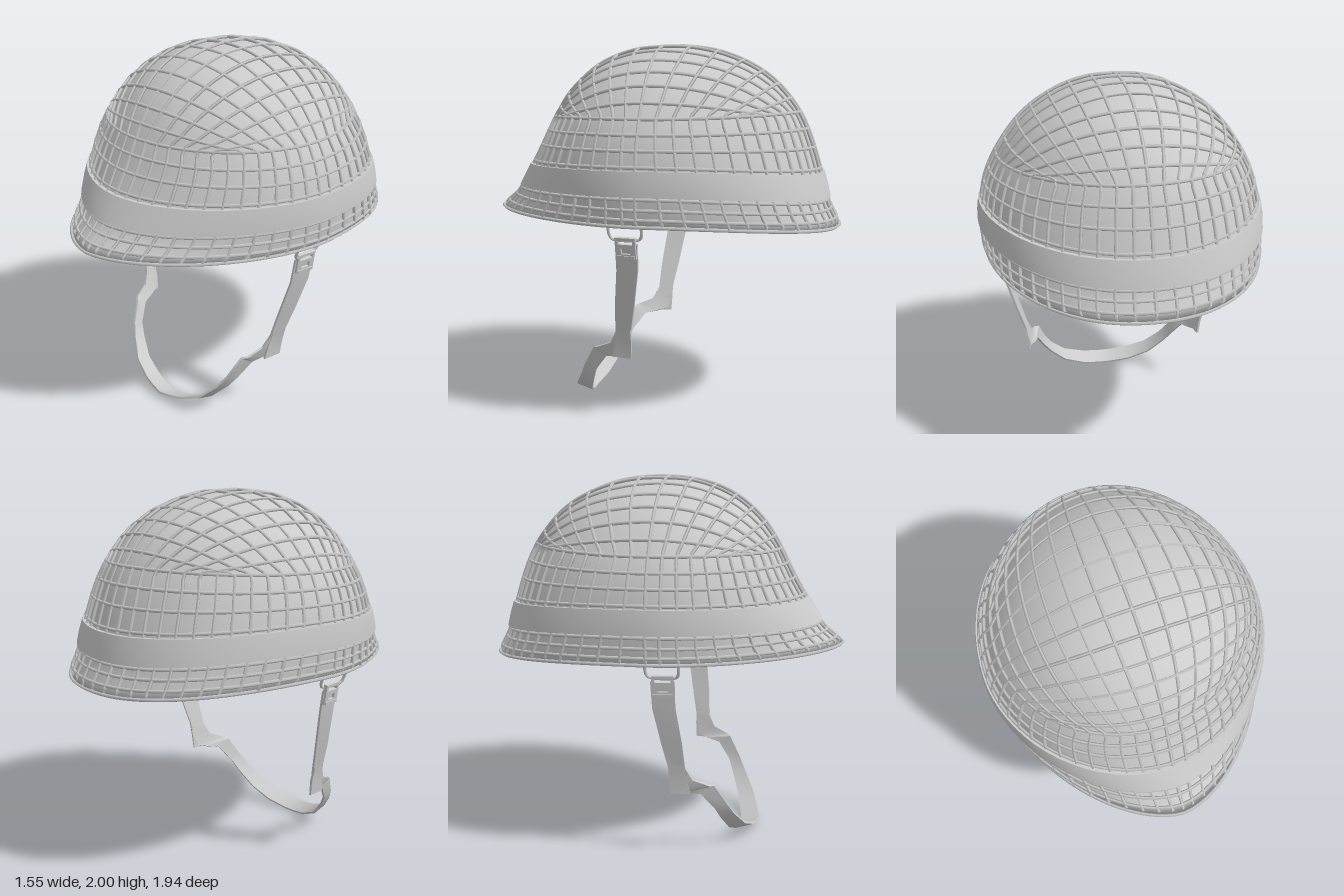
import * as THREE from 'three';
import { mergeGeometries, mergeVertices, toCreasedNormals } from 'three/addons/utils/BufferGeometryUtils.js';

const grey = new THREE.MeshStandardMaterial({ color: 0xcccccc, side: THREE.DoubleSide });
const N = 14;               // net cells across the crown patch
const AROUND = 4 * N;       // cords running down around the sides
const T_PATCH = 4, T_RIM = 9, T_HEM = 11, T_END = 15;

// Profile from crown over the rim to the inner crown: [radius, height] at each step
const meridian = (pts) => new THREE.CatmullRomCurve3(
  pts.map(([r, y]) => new THREE.Vector3(r, y, 0)), false, 'catmullrom', 0.5);
const FRONT = meridian([[0, 1.981], [.2, 1.957], [.38, 1.875], [.515, 1.75], [.605, 1.61], [.665, 1.49],
  [.745, 1.35], [.82, 1.225], [.88, 1.16], [.955, 1.10], [.85, 1.12], [.72, 1.23],
  [.65, 1.42], [.51, 1.68], [.3, 1.86], [0, 1.94]]);
const SIDE = meridian([[0, 1.981], [.2, 1.962], [.38, 1.885], [.53, 1.77], [.65, 1.61], [.71, 1.49],
  [.74, 1.365], [.75, 1.24], [.745, 1.155], [.735, 1.09], [.685, 1.11], [.645, 1.2],
  [.66, 1.42], [.56, 1.68], [.3, 1.86], [0, 1.94]]);
const BACK = meridian([[0, 1.981], [.23, 1.97], [.45, 1.895], [.61, 1.785], [.73, 1.635], [.795, 1.49],
  [.85, 1.315], [.885, 1.18], [.915, 1.105], [.955, 1.03], [.88, 1.07], [.80, 1.18],
  [.77, 1.4], [.64, 1.7], [.35, 1.88], [0, 1.94]]);

// Point on the helmet at profile step t and angle (0 = front, +90 degrees = +x)
function surface(t, angle, offset = 0) {
  const s = Math.sin(angle), c = Math.cos(angle);
  const side = SIDE.getPoint(t / T_END), end = (c > 0 ? FRONT : BACK).getPoint(t / T_END);
  // the brim is drawn to a blunt point at the front and is fuller at the back
  const e = 1 + THREE.MathUtils.smoothstep(t, 4, T_RIM) * (c > 0 ? 0.19 : -0.09);
  const out = offset * THREE.MathUtils.clamp((9.4 - t) * 2, -1, 1) * Math.min(1, t / 2);
  const y = side.y * s * s + end.y * c * c + offset * Math.max(0, 1 - t / T_PATCH);
  return new THREE.Vector3(
    (side.x + out) * Math.sign(s) * Math.abs(s) ** e, y,
    (end.x + out) * Math.sign(c) * Math.abs(c) ** e);
}

// Square grid spread over the round crown; cell (i, j) counts along x and z
function crown(i, j, offset = 0) {
  const q = (k) => Math.SQRT2 * Math.sin(Math.PI / 4 * (2 * k / N - 1));
  const x = q(i), z = q(j);
  const u = x * Math.sqrt(1 - z * z / 2), v = z * Math.sqrt(1 - x * x / 2);
  const angle = Math.atan2(u, v);
  return { angle, point: surface(T_PATCH * Math.min(1, Math.hypot(u, v)), angle, offset) };
}

const range = (n, f) => Array.from({ length: n }, (_, i) => f(i));

// Surface through rows of points
function loft(rows) {
  const w = rows[0].length, index = [];
  for (let i = 0; i < rows.length - 1; i++) {
    for (let j = 0; j < w - 1; j++) {
      const a = i * w + j, b = a + w;
      index.push(a, b, b + 1, a, b + 1, a + 1);
    }
  }
  const g = new THREE.BufferGeometry().setFromPoints(rows.flat());
  g.setIndex(index);
  return g;
}

function add(parent, name, geometry) {
  const mesh = new THREE.Mesh(geometry, grey);
  mesh.name = name;
  parent.add(mesh);
  return mesh;
}

const smooth = (g) => { const m = mergeVertices(g); m.computeVertexNormals(); return m; };
const creased = (g) => toCreasedNormals(smooth(g), 0.6);
const ring = (t, offset, n = AROUND) => range(n + 1, (k) => surface(t, (k % n) / n * Math.PI * 2, offset));

// Profile steps of the net rows on the sides, under the brim and inside the hem
const netSteps = [...range(9, (k) => T_PATCH + k * 0.625), 9.67, 10.33, T_HEM];

function buildShell(group) {
  const top = loft(range(N + 1, (j) => range(N + 1, (i) => crown(i, j).point)));
  const sides = loft(netSteps.map((t) => ring(t, 0)));
  add(group, 'shell', smooth(mergeGeometries([top, sides])));
  add(group, 'innerShell', smooth(loft(range(17, (k) => ring(T_HEM + k / 4, 0)))));
}

function buildNet(group) {
  const off = 0.01, cords = [];
  const cord = (pts, closed = false) => cords.push(new THREE.TubeGeometry(
    new THREE.CatmullRomCurve3(pts, closed), pts.length * 2, 0.009, 4, closed));
  const down = (angle) => netSteps.map((t) => surface(t, angle, off));
  // cords over the crown that carry on down both sides
  for (let i = 1; i < N; i++) {
    for (const at of [(k) => crown(i, k, off), (k) => crown(k, i, off)]) {
      const middle = range(N - 1, (k) => at(k + 1).point);
      cord([...down(at(0).angle).reverse(), ...middle, ...down(at(N).angle)]);
    }
  }
  // cords starting at the four corners of the crown grid
  for (let k = 0; k < 4; k++) cord(down(Math.PI / 4 + k * Math.PI / 2));
  // cords running around
  for (const t of netSteps) cord(ring(t, off).slice(0, -1), true);
  add(group, 'net', mergeGeometries(cords));
}

function buildBand(group) {
  const section = [[6, 0.026], [6.5, 0.028], [7, 0.026], [7, 0.006], [6, 0.006], [6, 0.026]];
  add(group, 'band', creased(loft(section.map(([t, o]) => ring(t, o, 72)))));
}

// Flat strap lofted along rows of [x, front y, front z, back y, back z], its face turned a little forward
function strapGeometry(rows, thickness) {
  const front = rows.map((r) => new THREE.Vector3(r[0], r[1], r[2]));
  const back = rows.map((r) => new THREE.Vector3(r[0] * 1.03, r[3], r[4]));
  const mid = front.map((f, i) => f.clone().add(back[i]).multiplyScalar(0.5));
  const sections = rows.map((_, i) => {
    const along = mid[Math.min(i + 1, rows.length - 1)].clone().sub(mid[Math.max(i - 1, 0)]);
    const inward = along.cross(back[i].clone().sub(front[i])).setLength(-thickness);
    const f = front[i], b = back[i];
    return [f, b, b.clone().add(inward), f.clone().add(inward), f];
  });
  return creased(loft(sections));
}

function buildStrap(group) {
  const half = [
    [.655, .99, .13, .99, .01], [.63, .85, .13, .85, .015], [.575, .65, .155, .65, .05],
    [.53, .5, .165, .5, .08], [.505, .43, .2, .37, .105], [.475, .39, .29, .355, .16],
    [.45, .385, .31, .34, .24], [.405, .27, .375, .245, .31], [.36, .2, .41, .18, .335],
    [.27, .11, .465, .085, .375], [.15, .06, .5, .03, .4], [.07, .043, .515, .013, .415]];
  const mirrored = half.map(([x, ...r]) => [-x, ...r]).reverse();
  add(group, 'chinStrap', strapGeometry([...half, [0, .035, .525, .004, .425], ...mirrored], 0.012));
  // loose strap ends
  const tail = [[.54, .52, .16, .52, .08], [.52, .44, .17, .44, .08], [.51, .355, .19, .355, .085]];
  add(group, 'strapEndLeft', strapGeometry(tail, 0.012));
  add(group, 'strapEndRight', strapGeometry(tail.map(([x, ...r]) => [-x, ...r]).reverse(), 0.012));
}

function buildFittings(group) {
  // wire loop hanging from the rim
  const loopPath = new THREE.CatmullRomCurve3([[.715, 1.14, .155], [.70, 1.1, .155], [.672, 1.03, .15],
    [.666, 1.015, .135], [.666, 1.015, .005], [.672, 1.03, -.01], [.70, 1.1, -.015], [.715, 1.14, -.015]]
    .map((p) => new THREE.Vector3(...p)), false, 'centripetal');
  // buckle plate with two slots
  const rect = (Type, x, y, w, h) => new Type([[x, y], [x + w, y], [x + w, y + h], [x, y + h]]
    .map((p) => new THREE.Vector2(...p)));
  const plate = rect(THREE.Shape, -.055, -.055, .11, .11);
  plate.holes.push(rect(THREE.Path, -.04, .02, .08, .02), rect(THREE.Path, -.025, -.03, .05, .03));
  const plateGeometry = new THREE.ExtrudeGeometry(plate, { depth: 0.022, bevelEnabled: false })
    .translate(0, 0, -0.011).rotateY(Math.PI / 2);
  for (const side of [1, -1]) {
    const fitting = new THREE.Group();
    fitting.name = side > 0 ? 'leftFitting' : 'rightFitting';
    add(fitting, 'wireLoop', new THREE.TubeGeometry(loopPath, 40, 0.008, 6));
    const buckle = new THREE.Group();
    buckle.name = 'buckle';
    add(buckle, 'bucklePlate', plateGeometry);
    add(buckle, 'buckleBar', new THREE.BoxGeometry(0.032, 0.018, 0.1)).position.y = -0.047;
    buckle.position.set(0.663, 0.972, 0.07);
    buckle.rotation.set(0, -0.16, -0.17);
    fitting.add(buckle);
    fitting.scale.x = side;
    group.add(fitting);
  }
}

export function createModel() {
  const group = new THREE.Group();
  group.name = 'helmet';
  buildShell(group);
  buildNet(group);
  buildBand(group);
  buildStrap(group);
  buildFittings(group);
  return group;
}
